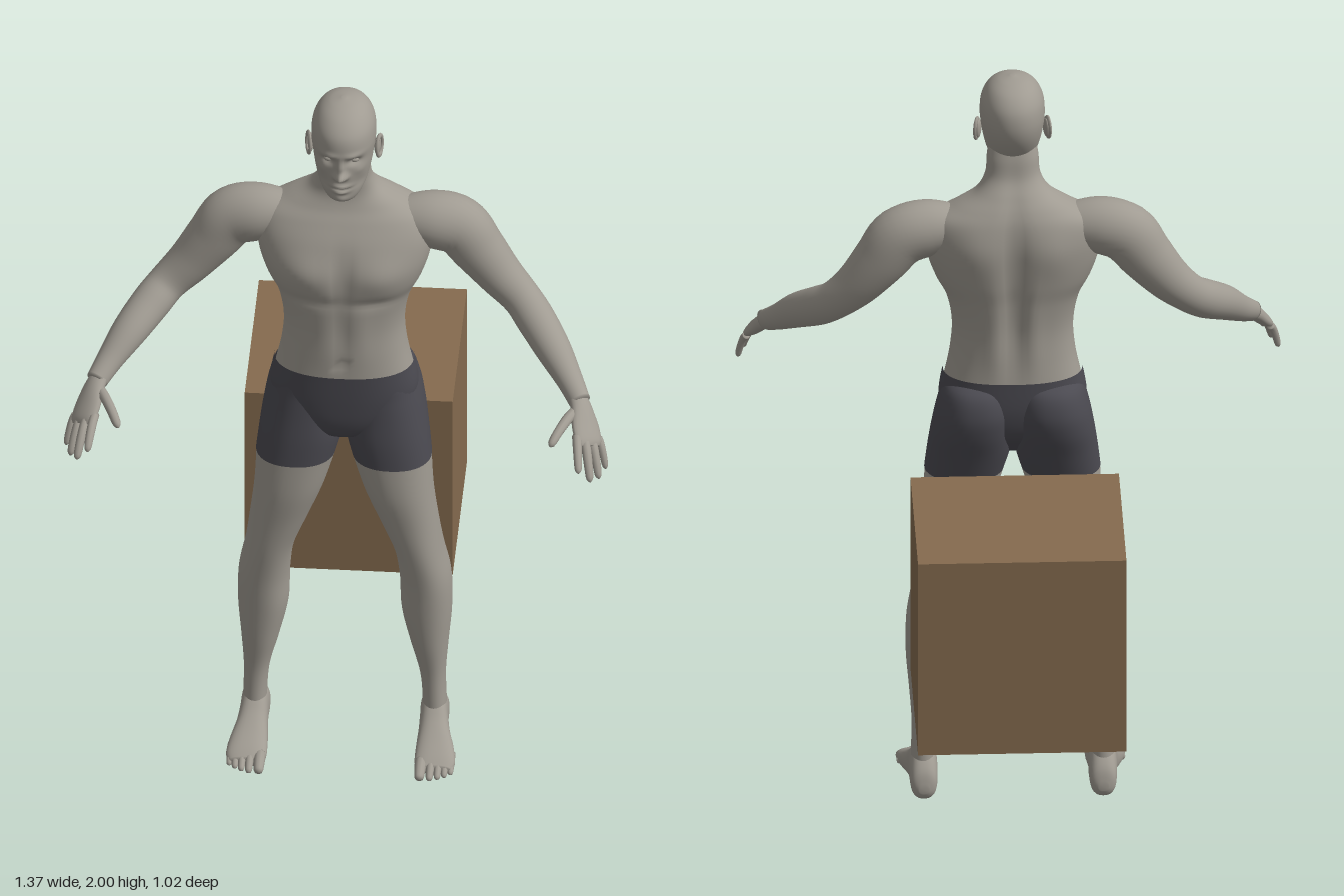
import * as THREE from 'three';

const skin = new THREE.MeshStandardMaterial({ color: 0xa09b92 });
skin.name = 'greySkin';
const cloth = new THREE.MeshStandardMaterial({ color: 0x4b4a51 });
cloth.name = 'darkCloth';
const wood = new THREE.MeshStandardMaterial({ color: 0x856b4f });
wood.name = 'brownBox';

// Smoothly resample rows of numbers (Catmull-Rom, per column)
function resample(rows, n) {
  const last = rows.length - 1, out = [];
  for (let k = 0; k <= n; k++) {
    const f = (k / n) * last, i = Math.min(Math.floor(f), last - 1), t = f - i;
    const [a, b, c, d] = [-1, 0, 1, 2].map(o => rows[Math.min(Math.max(i + o, 0), last)]);
    out.push(b.map((_, j) => b[j] + 0.5 * t * (c[j] - a[j]
      + t * (2 * a[j] - 5 * b[j] + 4 * c[j] - d[j] + t * (3 * (b[j] - c[j]) + d[j] - a[j])))));
  }
  return out;
}

// Skin a list of {c, u, v} rings; u x v points along the loft
function loft(rings, seg, e = 1, capStart = true, capEnd = true) {
  const pos = [], idx = [], pw = x => Math.sign(x) * Math.abs(x) ** e;
  for (const { c, u, v } of rings) {
    for (let j = 0; j < seg; j++) {
      const a = (j / seg) * Math.PI * 2;
      const p = c.clone().addScaledVector(u, pw(Math.cos(a))).addScaledVector(v, pw(Math.sin(a)));
      pos.push(p.x, p.y, p.z);
    }
  }
  const n = rings.length;
  for (let i = 0; i < n - 1; i++) for (let j = 0; j < seg; j++) {
    const a = i * seg + j, b = i * seg + (j + 1) % seg;
    idx.push(a, b, b + seg, a, b + seg, a + seg);
  }
  const cap = (i, flip) => {
    const m = pos.length / 3;
    pos.push(...rings[i].c.toArray());
    for (let j = 0; j < seg; j++) {
      const a = i * seg + j, b = i * seg + (j + 1) % seg;
      idx.push(m, flip ? b : a, flip ? a : b);
    }
  };
  if (capStart) cap(0, true);
  if (capEnd) cap(n - 1, false);
  const g = new THREE.BufferGeometry();
  g.setAttribute('position', new THREE.Float32BufferAttribute(pos, 3));
  g.setIndex(idx);
  g.computeVertexNormals();
  return g;
}

const V = (x, y, z) => new THREE.Vector3(x, y, z);

// Horizontal rings: [y, xMin, xMax, zBack, zFront], rising in y
const upright = (rows, n, seg, e, c0, c1) => loft(resample(rows, n).map(([y, x0, x1, z0, z1]) => ({
  c: V((x0 + x1) / 2, y, (z0 + z1) / 2), u: V((x1 - x0) / 2, 0, 0), v: V(0, 0, (z0 - z1) / 2)
})), seg, e, c0, c1);

// Symmetric rows: [y, halfWidth, zBack, zFront]
const sym = rows => rows.map(([y, w, z0, z1]) => [y, -w, w, z0, z1]);

// Tube along points [x, y, z, radiusU, radiusV]
function limb(points, n, seg, ref = V(0, 0, 1)) {
  const s = resample(points, n), at = i => V(...s[Math.min(Math.max(i, 0), n)]);
  return loft(s.map((p, i) => {
    const t = at(i + 1).sub(at(i - 1)).normalize();
    const u = ref.clone().addScaledVector(t, -ref.dot(t)).normalize();
    const v = t.clone().cross(u);
    return { c: at(i), u: u.multiplyScalar(p[3]), v: v.multiplyScalar(p[4]) };
  }), seg);
}

// Finger or toe with a small bend and a rounded tip
function digit(a, b, r, bend) {
  const p = (t, k) => {
    const q = V(...a).lerp(V(...b), t);
    return [q.x, q.y + bend * 4 * t * (1 - t), q.z, r * k, r * k];
  };
  return limb([p(0, 1), p(0.35, 1), p(0.7, 0.92), p(0.93, 0.75), p(1, 0.15)], 14, 10, V(1, 0, 0));
}

// Push muscles and features in or out: [x, y, amount, spreadX, spreadY, side], mirrored in x
function sculpt(g, zMid, bumps) {
  const p = g.attributes.position;
  for (let i = 0; i < p.count; i++) {
    const x = Math.abs(p.getX(i)), y = p.getY(i), z = p.getZ(i);
    let dz = 0;
    for (const [bx, by, amt, sx, sy, side] of bumps) {
      const w = Math.min(Math.max((z - zMid) * side / 0.05, 0), 1);
      dz += side * w * amt * Math.exp(-(((x - bx) / sx) ** 2) - ((y - by) / sy) ** 2);
    }
    p.setZ(i, z + dz);
  }
  g.computeVertexNormals();
  return g;
}

function mirrored(g) {
  const m = g.clone(), p = m.attributes.position, ix = m.index.array;
  for (let i = 0; i < p.count; i++) p.setX(i, -p.getX(i));
  for (let i = 0; i < ix.length; i += 3) [ix[i], ix[i + 1]] = [ix[i + 1], ix[i]];
  m.computeVertexNormals();
  return m;
}

export function createModel() {
  const model = new THREE.Group();
  model.name = 'figureWithBox';
  const add = (name, g, mat) => {
    const m = new THREE.Mesh(g, mat);
    m.name = name;
    model.add(m);
  };
  const pair = (name, g, mat) => {
    add('left' + name, g, mat);
    add('right' + name, mirrored(g), mat);
  };

  // Box behind the figure
  add('box', new THREE.BoxGeometry(0.525, 0.54, 0.48).translate(0, 0.677, -0.272), wood);

  // Torso and neck
  const torso = upright(sym([
    [1.16, 0.174, 0.002, 0.216], [1.24, 0.158, 0.006, 0.215], [1.32, 0.153, 0.006, 0.212],
    [1.40, 0.167, -0.004, 0.216], [1.46, 0.196, -0.014, 0.22], [1.52, 0.216, -0.018, 0.214],
    [1.58, 0.222, -0.018, 0.198], [1.63, 0.205, -0.012, 0.173], [1.665, 0.15, 0, 0.153],
    [1.70, 0.095, 0.02, 0.142], [1.74, 0.07, 0.045, 0.143], [1.79, 0.065, 0.055, 0.15],
    [1.83, 0.058, 0.065, 0.16]]), 72, 72, 0.85, false, true);
  add('torso', sculpt(torso, 0.1, [
    [0.095, 1.5, 0.016, 0.07, 0.055, 1], [0, 1.5, -0.008, 0.015, 0.07, 1],
    [0.045, 1.33, 0.005, 0.03, 0.09, 1], [0, 1.32, -0.004, 0.01, 0.1, 1],
    [0, 1.225, -0.01, 0.009, 0.012, 1], [0.08, 1.415, -0.006, 0.06, 0.015, 1],
    [0, 1.45, -0.02, 0.025, 0.2, -1], [0.095, 1.56, 0.011, 0.06, 0.07, -1],
    [0.05, 1.3, 0.005, 0.025, 0.1, -1]]), skin);

  // Head with sculpted face
  const head = upright(sym([
    [1.735, 0.026, 0.14, 0.2], [1.75, 0.043, 0.115, 0.227], [1.78, 0.06, 0.08, 0.234],
    [1.82, 0.071, 0.046, 0.236], [1.86, 0.078, 0.024, 0.236], [1.90, 0.082, 0.016, 0.24],
    [1.94, 0.078, 0.022, 0.232], [1.972, 0.062, 0.045, 0.205], [1.991, 0.038, 0.08, 0.17],
    [2.0, 0.006, 0.12, 0.132]]), 90, 88, 0.95);
  add('head', sculpt(head, 0.15, [
    [0, 1.834, 0.025, 0.012, 0.011, 1], [0, 1.858, 0.014, 0.009, 0.022, 1],
    [0.013, 1.829, 0.008, 0.007, 0.007, 1], [0.033, 1.873, -0.013, 0.016, 0.01, 1],
    [0.03, 1.893, 0.005, 0.022, 0.008, 1], [0, 1.799, 0.009, 0.021, 0.006, 1],
    [0, 1.782, 0.008, 0.018, 0.006, 1], [0, 1.791, -0.006, 0.022, 0.003, 1],
    [0, 1.758, 0.006, 0.02, 0.012, 1], [0.05, 1.845, 0.005, 0.015, 0.015, 1],
    [0.048, 1.8, -0.006, 0.018, 0.02, 1]]), skin);
  pair('Eye', new THREE.SphereGeometry(0.012, 16, 12).scale(1.15, 0.75, 1).translate(0.032, 1.872, 0.21), skin);

  // Ears: shell and rim
  const ear = g => g.rotateY(1.25).rotateX(-0.15).translate(0.085, 1.852, 0.122);
  pair('Ear', ear(new THREE.SphereGeometry(0.018, 16, 12).scale(0.9, 1.5, 0.35)), skin);
  pair('EarRim', ear(new THREE.TorusGeometry(0.017, 0.0045, 8, 24).scale(1, 1.6, 1).translate(0, 0, 0.005)), skin);

  // Arms
  pair('Arm', limb([
    [0.14, 1.6, 0.08, 0.055, 0.055], [0.215, 1.597, 0.078, 0.07, 0.074], [0.285, 1.575, 0.072, 0.07, 0.077],
    [0.335, 1.51, 0.075, 0.066, 0.069], [0.39, 1.44, 0.085, 0.057, 0.058], [0.445, 1.385, 0.105, 0.048, 0.05],
    [0.485, 1.348, 0.145, 0.049, 0.05], [0.535, 1.303, 0.21, 0.045, 0.045],
    [0.58, 1.255, 0.27, 0.034, 0.034], [0.61, 1.222, 0.318, 0.026, 0.028]], 50, 28, V(-0.3, 0.3, 1)), skin);

  // Hands
  const across = V(0.05, -0.025, -0.04).normalize();
  pair('Palm', limb([
    [0.6, 1.232, 0.303, 0.024, 0.022], [0.615, 1.212, 0.333, 0.031, 0.02], [0.627, 1.185, 0.368, 0.041, 0.018],
    [0.637, 1.163, 0.4, 0.041, 0.014], [0.641, 1.153, 0.412, 0.032, 0.008]], 20, 20, across), skin);
  [['IndexFinger', [0.608, 1.178, 0.405], [0.62, 1.135, 0.505], 0.0115],
    ['MiddleFinger', [0.628, 1.168, 0.402], [0.648, 1.095, 0.485], 0.012],
    ['RingFinger', [0.645, 1.158, 0.39], [0.667, 1.08, 0.448], 0.0115],
    ['LittleFinger', [0.66, 1.152, 0.37], [0.681, 1.077, 0.4], 0.01],
    ['Thumb', [0.603, 1.21, 0.335], [0.545, 1.18, 0.458], 0.0135]
  ].forEach(([name, a, b, r]) => pair(name, digit(a, b, r, 0.012), skin));

  // Shorts: pelvis and upper legs
  add('shortsPelvis', upright(sym([
    [0.96, 0.03, 0.08, 0.15], [0.985, 0.085, 0.055, 0.188], [1.03, 0.15, 0.02, 0.206],
    [1.10, 0.186, 0.002, 0.214], [1.187, 0.176, -0.001, 0.219]]), 24, 64, 0.85, true, false), cloth);
  pair('ShortsLeg', upright([
    [0.9, 0.022, 0.222, 0.032, 0.213], [0.97, 0.004, 0.214, 0.008, 0.211], [1.04, 0, 0.204, -0.018, 0.205],
    [1.10, 0, 0.192, -0.027, 0.2], [1.155, 0.015, 0.174, -0.01, 0.195], [1.18, 0.05, 0.14, 0.04, 0.16]],
  24, 40, 0.9, false, true), cloth);

  // Bare legs
  pair('Leg', upright([
    [0.05, 0.195, 0.257, 0.04, 0.14], [0.1, 0.197, 0.257, 0.045, 0.136], [0.2, 0.19, 0.255, 0.048, 0.136],
    [0.3, 0.165, 0.262, 0.024, 0.15], [0.4, 0.143, 0.27, 0.004, 0.162], [0.5, 0.139, 0.268, 0, 0.174],
    [0.6, 0.126, 0.25, 0.014, 0.189], [0.7, 0.09, 0.237, 0.03, 0.2], [0.8, 0.052, 0.226, 0.036, 0.211],
    [0.9, 0.022, 0.221, 0.032, 0.212]], 54, 40, 0.92, true, false), skin);

  // Feet: [z, xCentre, halfWidth, yBottom, yTop]
  pair('Foot', loft(resample([
    [0.018, 0.226, 0.012, 0.025, 0.045], [0.03, 0.226, 0.031, 0.006, 0.085], [0.07, 0.226, 0.036, 0, 0.125],
    [0.115, 0.227, 0.036, 0, 0.125], [0.155, 0.23, 0.04, 0, 0.092], [0.2, 0.235, 0.048, 0, 0.064],
    [0.245, 0.238, 0.051, 0, 0.043], [0.27, 0.236, 0.043, 0.004, 0.028]], 30).map(([z, x, w, y0, y1]) => ({
    c: V(x, (y0 + y1) / 2, z), u: V(w, 0, 0), v: V(0, (y1 - y0) / 2, 0)
  })), 32, 0.85), skin);

  // Toes: [x, tip z, radius]
  [[0.203, 0.312, 0.0145], [0.228, 0.308, 0.0105], [0.247, 0.3, 0.0098], [0.264, 0.29, 0.0094], [0.279, 0.277, 0.009]]
    .forEach(([x, z, r], i) => pair('Toe' + (i + 1), digit([x, 0.024, z - 0.07], [x, r, z], r, 0.004), skin));

  return model;
}
